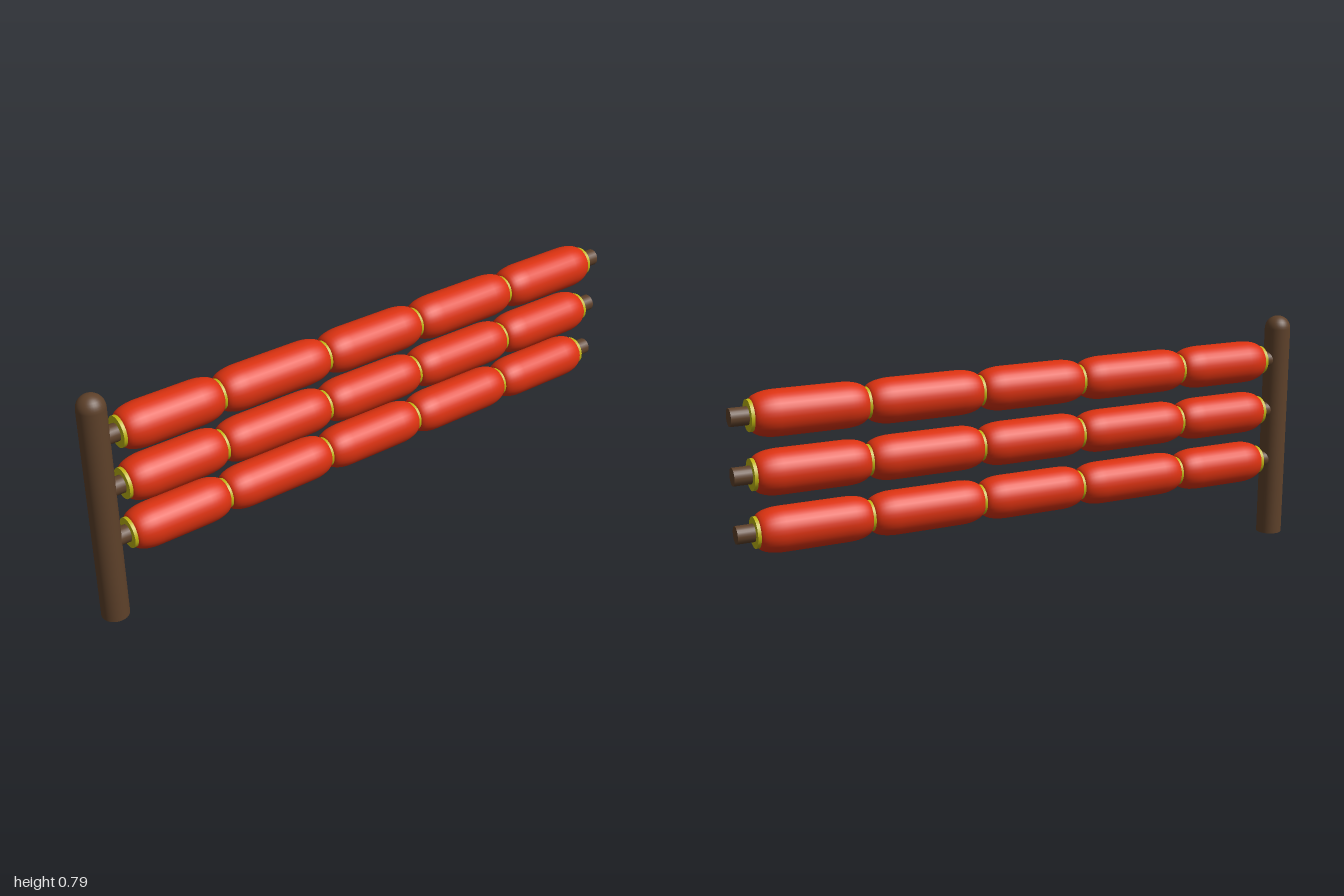
import * as THREE from 'three';

export function createModel() {
  const model = new THREE.Group();
  const wood = new THREE.MeshStandardMaterial({ color: 0x5e412a });
  const red = new THREE.MeshStandardMaterial({ color: 0xdc3210 });
  const yellow = new THREE.MeshStandardMaterial({ color: 0xbfb512 });

  const add = (parent, name, geometry, material, y, z) => {
    const mesh = new THREE.Mesh(geometry, material);
    mesh.name = name;
    mesh.position.set(0, y, z);
    parent.add(mesh);
  };

  // Upright post: flat base with a domed top
  const R = 0.044, H = 0.786;
  const profile = [new THREE.Vector2(R, 0)];
  for (let i = 0; i <= 8; i++) {
    const a = (i / 8) * Math.PI / 2;
    profile.push(new THREE.Vector2(R * Math.cos(a), H - R + R * Math.sin(a)));
  }
  add(model, 'post', new THREE.LatheGeometry(profile, 32), wood, 0, 1 - R);
  const base = new THREE.CircleGeometry(R, 32).rotateX(Math.PI / 2);
  add(model, 'postBase', base, wood, 0, 1 - R);

  // Padded roller with rounded shoulders, lying along z
  const roller = (length) => {
    const end = 0.044, full = 0.071, shoulder = 0.075, pts = [];
    for (let i = 0; i <= 8; i++) {
      const a = (i / 8) * Math.PI / 2;
      pts.push(new THREE.Vector2(end + (full - end) * Math.sin(a), -length / 2 + shoulder * (1 - Math.cos(a))));
    }
    const mirrored = pts.map((p) => new THREE.Vector2(p.x, -p.y)).reverse();
    const closed = [new THREE.Vector2(0, -length / 2), ...pts, ...mirrored, new THREE.Vector2(0, length / 2)];
    return new THREE.LatheGeometry(closed, 32).rotateX(Math.PI / 2);
  };

  // Three rails, each a rod carrying rollers separated by collars
  const joints = [0.881, 0.547, 0.164, -0.196, -0.575, -0.938];
  const rod = new THREE.CylinderGeometry(0.028, 0.028, 1.95, 24).rotateX(Math.PI / 2);
  const collar = new THREE.CylinderGeometry(0.049, 0.049, 0.013, 32).rotateX(Math.PI / 2);
  for (const y of [0.275, 0.455, 0.635]) {
    const rail = new THREE.Group();
    rail.name = 'rail';
    rail.position.y = y;
    add(rail, 'rod', rod, wood, 0, -0.025);
    joints.forEach((z, i) => {
      add(rail, 'collar', collar, yellow, 0, z);
      if (i === 0) return;
      const prev = joints[i - 1];
      add(rail, 'roller', roller(prev - z - 0.006), red, 0, (prev + z) / 2);
    });
    model.add(rail);
  }
  return model;
}
